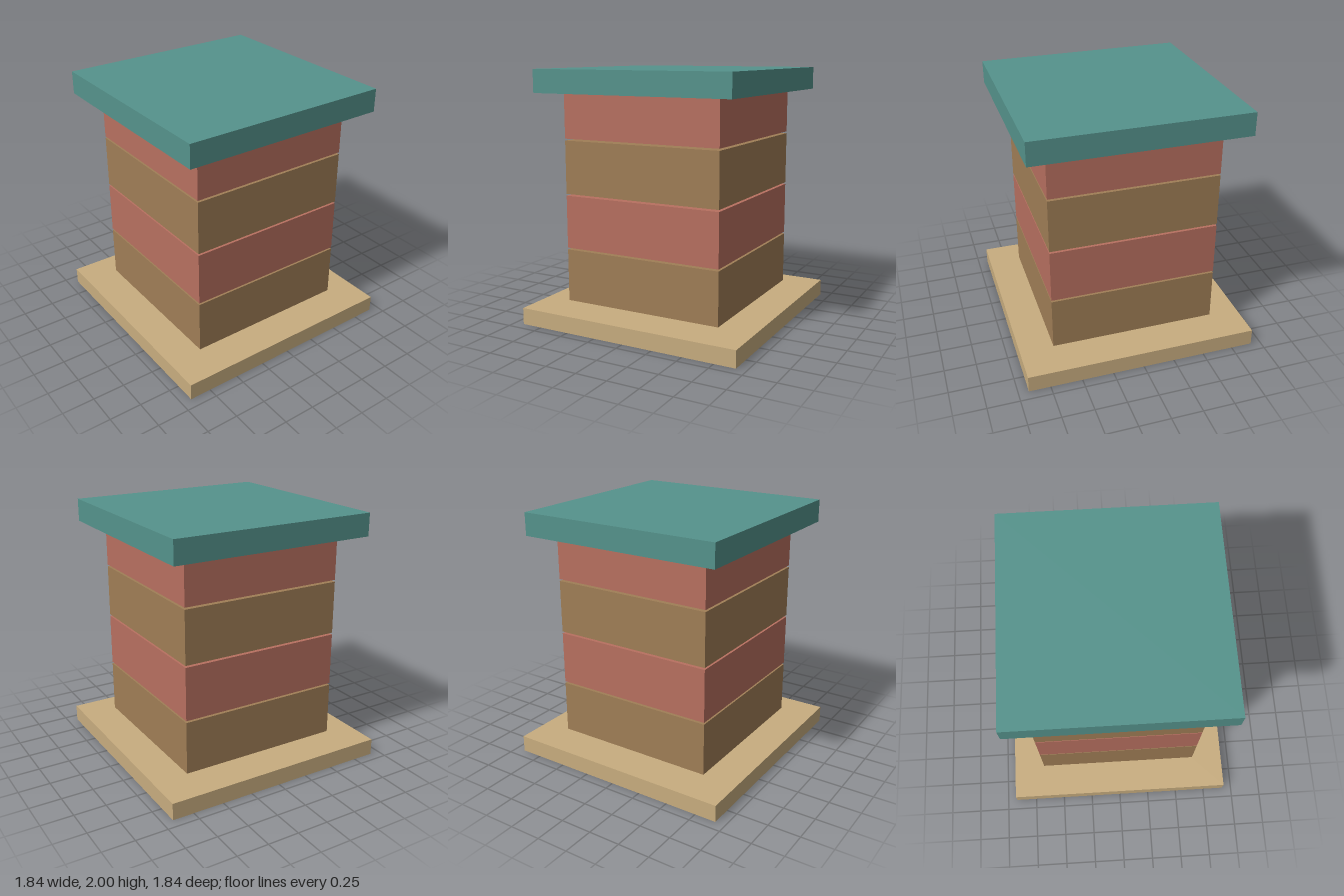
import * as THREE from 'three';

export function createModel() {
  const group = new THREE.Group();
  const material = (color) => new THREE.MeshStandardMaterial({ color });
  const tan = material(0xc8ad7f);
  const brown = material(0xa07e56);
  const red = material(0xb87060);
  const teal = material(0x55938c);

  // Square slab given by its width, bottom and height
  function slab(name, width, bottom, height, mat) {
    const mesh = new THREE.Mesh(new THREE.BoxGeometry(width, height, width), mat);
    mesh.name = name;
    mesh.position.y = bottom + height / 2;
    group.add(mesh);
  }

  slab('base', 1.84, 0, 0.133, tan);

  // Four stacked boxes with thin gaps; the top one runs up into the lid
  for (let i = 0; i < 4; i++) {
    slab(`stackedBox${i + 1}`, 1.32, 0.164 + i * 0.434, 0.419, i % 2 ? red : brown);
  }

  slab('lid', 1.646, 1.82, 0.18, teal);

  return group;
}
